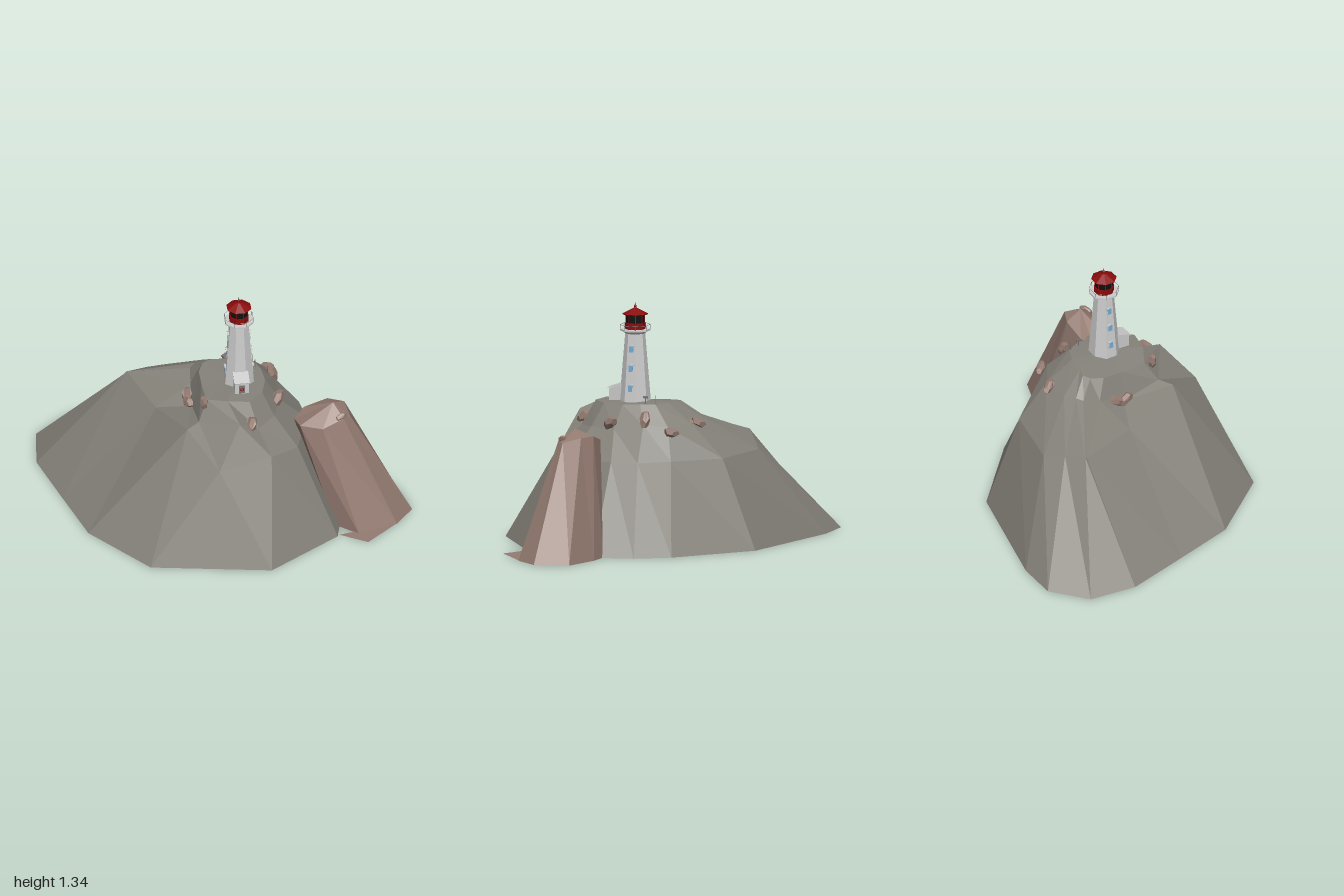
import * as THREE from 'three';

const mat = (color, extra = {}) => new THREE.MeshStandardMaterial({ color, flatShading: true, ...extra });
const stone = mat(0x85827a), brown = mat(0x947b71), white = mat(0xcccccc), red = mat(0x8c0c0c);
const black = mat(0x101010), glass = mat(0x6fa8d0), iron = mat(0x77797a);

function add(parent, name, geo, material, x = 0, y = 0, z = 0) {
  const m = new THREE.Mesh(geo, material);
  m.name = name;
  m.position.set(x, y, z);
  parent.add(m);
  return m;
}

// Skins a stack of equal-length rings and closes both ends with fans
function loft(rings, peak, base) {
  const n = rings[0].length, pos = [];
  const tri = (...pts) => pts.forEach(p => pos.push(...p));
  for (let i = 0; i < n; i++) {
    const j = (i + 1) % n;
    for (let r = 0; r < rings.length - 1; r++) {
      const lo = rings[r], hi = rings[r + 1];
      tri(lo[i], hi[i], hi[j]);
      tri(lo[i], hi[j], lo[j]);
    }
    const top = rings[rings.length - 1];
    tri(peak, top[j], top[i]);
    tri(base, rings[0][i], rings[0][j]);
  }
  const g = new THREE.BufferGeometry();
  g.setAttribute('position', new THREE.Float32BufferAttribute(pos, 3));
  g.computeVertexNormals();
  return g;
}

// Eight-sided drum with flat faces on the axes; sizes are to the flats
function octagon(top, bottom, h, open = false) {
  const k = 1 / Math.cos(Math.PI / 8);
  return new THREE.CylinderGeometry(top * k, bottom * k, h, 8, 1, open).rotateY(Math.PI / 8);
}

// Faceted hill with a ridge to the back right and a hollow on the right flank
function buildHill() {
  const ground = [[-1, -.38], [-.97, -.65], [-.78, -.81], [-.55, -.81], [.12, -.65], [.5, -.3],
    [.61, -.12], [.66, .1], [.56, .53], [.16, .81], [-.5, .7], [-.8, .33], [-.9, -.02]].map(([x, z]) => [x, 0, z]);
  const shoulder = [[-.5, .57, -.38], [-.49, .567, -.385], [-.38, .54, -.45], [-.27, .5, -.52],
    [.1, .5, -.45], [.3, .5, -.22], [.42, .5, -.07], [.44, .5, .08], [.36, .5, .36],
    [.2, .53, .48], [-.1, .52, .57], [-.25, .65, .33], [-.38, .56, -.03]];
  const upper = [[-.18, .66, -.1], [-.17, .69, -.2], [-.14, .7, -.23], [-.08, .69, -.27],
    [.1, .68, -.27], [.24, .68, -.18], [.28, .69, -.05], [.29, .66, .12], [.24, .66, .27],
    [.14, .65, .37], [.03, .72, .42], [-.18, .66, .28], [-.19, .61, .05]];
  const summit = [[-.14, .77, -.05], [-.11, .775, -.12], [-.07, .78, -.14], [-.02, .785, -.13],
    [.08, .79, -.12], [.17, .79, -.08], [.2, .79, 0], [.21, .785, .1], [.18, .785, .22],
    [.1, .785, .3], [-.02, .785, .28], [-.13, .765, .22], [-.14, .765, .07]];
  return loft([ground, shoulder, upper, summit], [.06, .795, .08], [-.15, 0, 0]);
}

function buildCrag() {
  const ground = [[1, .32], [.9, .45], [.68, .52], [.56, .42], [.5, .25], [.63, .05],
    [.75, .06], [.95, .13]].map(([x, z]) => [x, 0, z]);
  const top = [[.66, .63, .28], [.62, .64, .32], [.5, .6, .35], [.38, .6, .3], [.36, .58, .2],
    [.42, .62, .15], [.55, .66, .14], [.64, .66, .18]];
  return loft([ground, top], [.57, .7, .24], [.75, 0, .28]);
}

function buildBoulders(parent) {
  // x, y, z, length, heading, tilt
  const spots = [[-.15, .775, .26, .04, .3, 1.2], [.1, .675, .37, .055, 1.1, .5],
    [.275, .685, .145, .055, .9, .8], [.27, .72, -.055, .05, 0, -.8], [.26, .66, -.21, .045, -.8, .5],
    [.05, .69, -.29, .045, -.9, .4], [.07, .68, -.25, .045, -.7, -.4], [-.21, .64, -.01, .05, 1.5, .3],
    [-.21, .63, .05, .05, 1.8, -.3], [.61, .64, .3, .04, .5, .7]];
  spots.forEach(([x, y, z, s, heading, tilt], n) => {
    const g = new THREE.DodecahedronGeometry(1);
    const p = g.attributes.position;
    // skew each stone so that no two match
    for (let i = 0; i < p.count; i++) {
      p.setY(i, p.getY(i) + .35 * Math.sin(2 * p.getX(i) + n));
    }
    g.scale(s * 1.05, s * .6, s * .6).computeVertexNormals();
    add(parent, 'boulder', g, brown, x, y, z).rotation.set(0, heading, tilt);
  });
}

function buildTower() {
  const t = new THREE.Group();
  t.name = 'lighthouse';
  t.position.set(.067, .785, .08);
  add(t, 'towerShaft', octagon(.05, .08, .395), white, 0, .1975, 0);
  add(t, 'galleryBracket', octagon(.068, .052, .015), white, 0, .388, 0);
  add(t, 'galleryDeck', octagon(.078, .078, .009), white, 0, .4, 0);

  // Gallery railing
  for (let i = 0; i < 8; i++) {
    const a = (i + .5) * Math.PI / 4, r = .083;
    add(t, 'railPost', new THREE.BoxGeometry(.002, .026, .002), iron, r * Math.sin(a), .415, r * Math.cos(a));
  }
  add(t, 'handRail', new THREE.TorusGeometry(.083, .0012, 4, 8).rotateX(Math.PI / 2).rotateY(Math.PI / 8), iron, 0, .428, 0);

  // Lantern room
  add(t, 'lanternBase', octagon(.052, .052, .035), red, 0, .422, 0);
  add(t, 'lanternGlass', octagon(.047, .047, .048), black, 0, .462, 0);
  for (let i = 0; i < 8; i++) {
    const a = (i + .5) * Math.PI / 4, r = .051;
    add(t, 'lanternMullion', new THREE.BoxGeometry(.004, .048, .004), red, r * Math.sin(a), .462, r * Math.cos(a)).rotation.y = a;
  }
  add(t, 'roofEave', octagon(.066, .062, .006), red, 0, .487, 0);
  add(t, 'roof', octagon(.012, .066, .03), red, 0, .505, 0);
  add(t, 'roofVent', new THREE.CylinderGeometry(.006, .009, .012, 8), red, 0, .524, 0);
  add(t, 'ventBall', new THREE.SphereGeometry(.008, 8, 6), red, 0, .531, 0);
  add(t, 'lightningRod', new THREE.CylinderGeometry(.0015, .0015, .016, 5), black, 0, .543, 0);

  // Three hooded windows up each side, leaning with the wall
  for (const side of [-1, 1]) {
    for (const y of [.08, .19, .297]) {
      const w = new THREE.Group();
      w.name = 'window';
      w.position.set(side * (.08 - .03 * y / .395), y, 0);
      w.rotation.z = side * .076;
      t.add(w);
      add(w, 'windowFrame', new THREE.BoxGeometry(.006, .042, .032), white);
      add(w, 'windowPane', new THREE.BoxGeometry(.008, .034, .024), glass);
      for (const s of [-1, 1]) {
        add(w, 'windowHood', new THREE.BoxGeometry(.014, .003, .021), white, side * .003, .023, s * .009).rotation.x = s * .3;
      }
    }
  }

  // Entrance porch with a sloping roof
  const profile = new THREE.Shape([[.05, 0], [.14, 0], [.14, .07], [.05, .1]].map(p => new THREE.Vector2(...p)));
  const porch = new THREE.ExtrudeGeometry(profile, { depth: .076, bevelEnabled: false });
  porch.rotateY(-Math.PI / 2);
  add(t, 'porch', porch, white, .038, 0, 0);
  add(t, 'porchRoof', new THREE.BoxGeometry(.086, .005, .085), white, 0, .087, .107).rotation.x = .32;
  add(t, 'door', new THREE.BoxGeometry(.034, .05, .004), iron, 0, .032, .14);
  add(t, 'lifeRing', new THREE.TorusGeometry(.008, .003, 6, 12), red, 0, .032, .144);
  return t;
}

function buildYard(parent) {
  // Posts and a small signboard behind the tower
  [[.16, -.075, .05], [.17, -.02, .045]].forEach(([x, z, h]) => {
    add(parent, 'post', new THREE.CylinderGeometry(.002, .002, h, 5), iron, x, .788 + h / 2, z);
  });
  add(parent, 'signBoard', new THREE.BoxGeometry(.004, .012, .026), iron, .17, .828, -.02);
}

export function createModel() {
  const model = new THREE.Group();
  add(model, 'hill', buildHill(), stone);
  add(model, 'crag', buildCrag(), brown);

  // Thin ledge at the foot of the crag
  const ledge = new THREE.Shape([[.57, -.52], [.72, -.61], [.9, -.45]].map(p => new THREE.Vector2(...p)));
  add(model, 'cragLedge', new THREE.ShapeGeometry(ledge).rotateX(-Math.PI / 2),
    mat(0x947b71, { side: THREE.DoubleSide }), 0, .003, 0);

  buildBoulders(model);
  model.add(buildTower());
  buildYard(model);
  return model;
}
